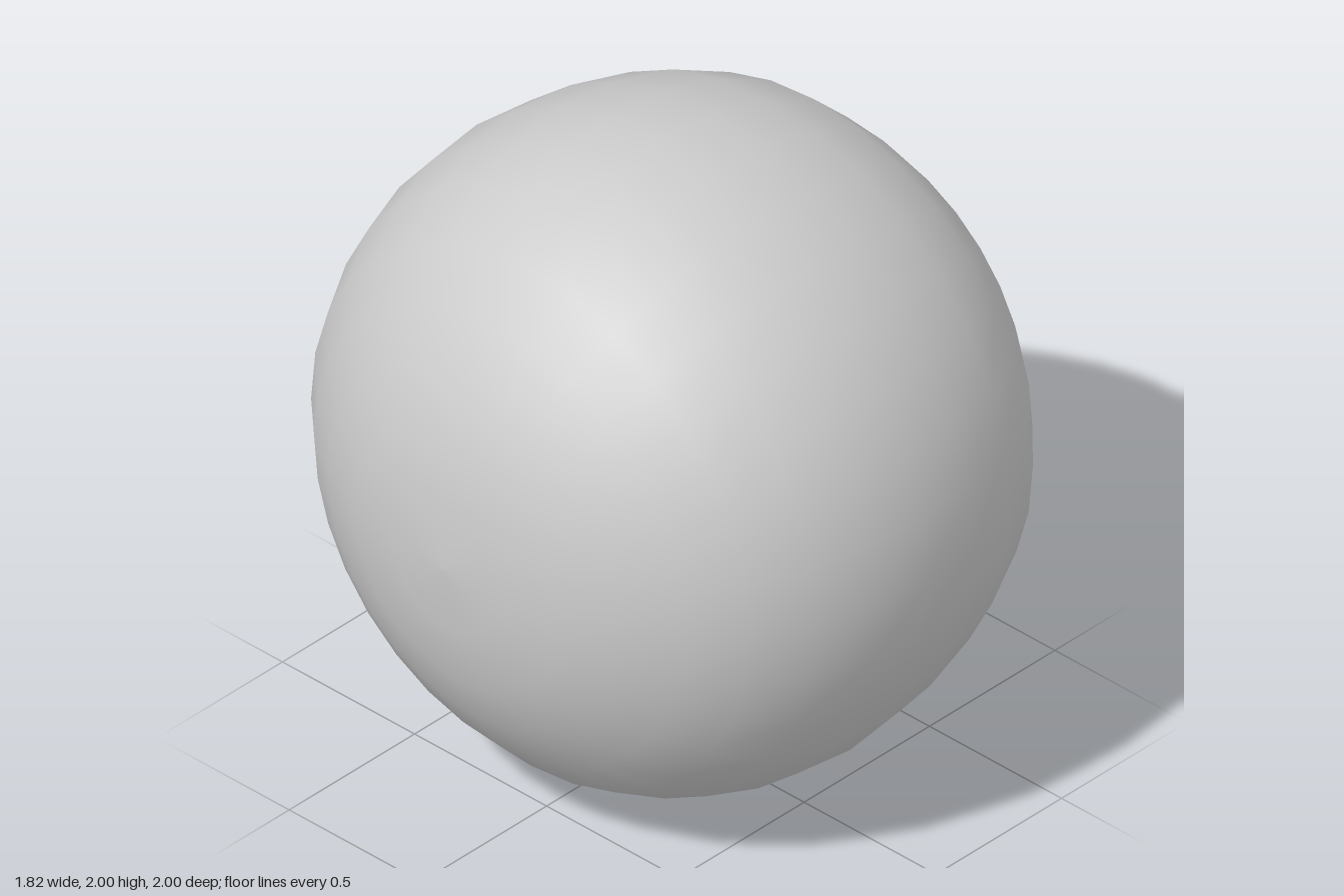
import * as THREE from 'three';

// Surface of revolution about the x axis; profile is [x, radius] from -x to +x
function revolve(name, profile, color) {
  const points = profile.map(([x, r]) => new THREE.Vector2(r, x));
  const geometry = new THREE.LatheGeometry(points, 32);
  geometry.rotateZ(-Math.PI / 2);
  const mesh = new THREE.Mesh(geometry, new THREE.MeshStandardMaterial({ color }));
  mesh.name = name;
  return mesh;
}

export function createModel() {
  const eye = new THREE.Group();
  eye.name = 'eyeball';

  // White of the eye, a sphere open at the iris
  eye.add(revolve('sclera', [
    [-0.91, 0], [-0.9, 0.2], [-0.86, 0.39], [-0.79, 0.55], [-0.69, 0.7],
    [-0.565, 0.83], [-0.4, 0.925], [-0.23, 0.98], [-0.035, 1], [0.17, 0.98],
    [0.375, 0.925], [0.565, 0.83], [0.7, 0.7], [0.775, 0.61],
  ], 0xcccccc));

  // Thin dark rim, coloured iris and bulging pupil
  eye.add(revolve('irisRim', [[0.775, 0.61], [0.79, 0.587]], 0x0e0e0e));
  eye.add(revolve('iris', [[0.79, 0.587], [0.835, 0.38]], 0x9a383c));
  eye.add(revolve('pupil', [[0.835, 0.38], [0.893, 0.2], [0.91, 0]], 0x0e0e0e));

  eye.position.y = 1;
  const model = new THREE.Group();
  model.name = 'eyeModel';
  model.add(eye);
  return model;
}
